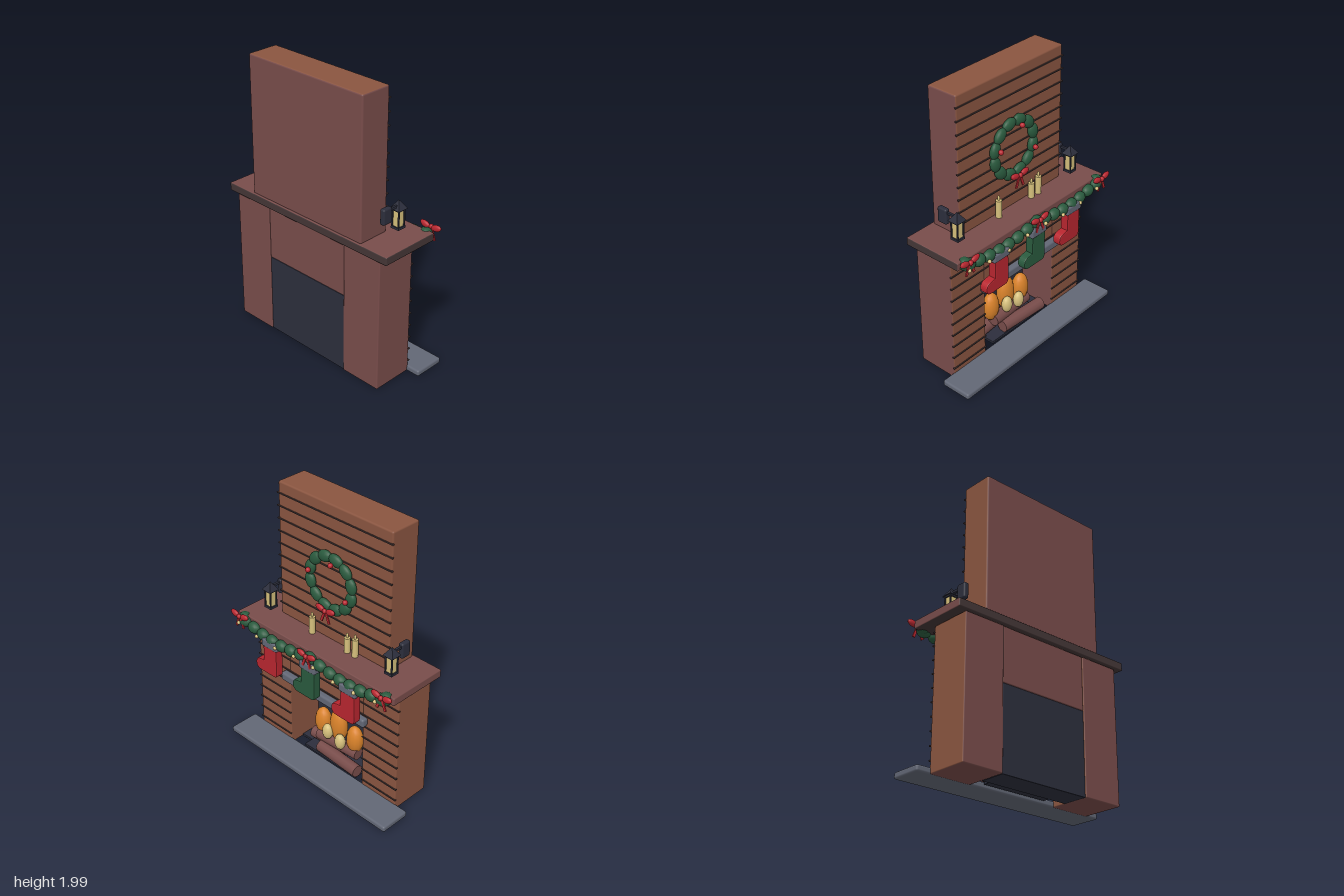
import * as THREE from 'three';
import { RoundedBoxGeometry } from 'three/addons/geometries/RoundedBoxGeometry.js';

const mat = (name, color) => {
  const m = new THREE.MeshStandardMaterial({ color });
  m.name = name;
  return m;
};

export function createModel() {
  const brick = mat('brick', 0x8a5540);
  const redBrown = mat('redBrown', 0x784c4a);
  const darkBrown = mat('darkBrown', 0x443636);
  const stone = mat('stone', 0x626775);
  const charcoal = mat('charcoal', 0x2c2e3c);
  const green = mat('green', 0x2a5a3e);
  const red = mat('red', 0xb8262f);
  const cream = mat('cream', 0xd6c07c);
  const orange = mat('orange', 0xd9822a);

  // Side order: +x, -x, +y, -y, +z, -z
  const brickSides = [redBrown, brick, brick, redBrown, redBrown, brick];
  const mantelSides = [darkBrown, redBrown, redBrown, darkBrown, darkBrown, redBrown];

  const model = new THREE.Group();
  model.name = 'fireplace';

  const add = (name, geo, material, x = 0, y = 0, z = 0, parent = model) => {
    const m = new THREE.Mesh(geo, material);
    m.name = name;
    m.position.set(x, y, z);
    parent.add(m);
    return m;
  };
  // Bevelled box given by its minimum and maximum corners
  const block = (name, material, [x0, y0, z0], [x1, y1, z1], r = 0.008) =>
    add(name, new RoundedBoxGeometry(x1 - x0, y1 - y0, z1 - z0, 2, r), material,
      (x0 + x1) / 2, (y0 + y1) / 2, (z0 + z1) / 2);
  const ball = new THREE.SphereGeometry(1, 14, 10);
  const blob = (name, material, x, y, z, rx, ry = rx, rz = rx, parent = model) => {
    const m = add(name, ball, material, x, y, z, parent);
    m.scale.set(rx, ry, rz);
    return m;
  };
  const group = (name, x, y, z) => {
    const g = new THREE.Group();
    g.name = name;
    g.position.set(x, y, z);
    model.add(g);
    return g;
  };

  // Masonry
  block('leftPillar', brickSides, [0.345, 0.01, -0.05], [0.65, 0.965, 0.25]);
  block('rightPillar', brickSides, [-0.65, 0.01, -0.05], [-0.345, 0.965, 0.25]);
  block('breast', brickSides, [-0.345, 0.585, -0.05], [0.345, 0.965, 0.245]);
  block('chimney', brickSides, [-0.49, 1.02, 0.02], [0.49, 2, 0.25], 0.012);
  block('mantel', mantelSides, [-0.715, 0.968, -0.175], [0.715, 1.026, 0.265]);
  block('hearth', stone, [-0.75, 0.008, -0.265], [0.75, 0.052, -0.04], 0.014);
  block('lintel', stone, [-0.39, 0.57, -0.097], [0.39, 0.635, -0.045], 0.016);
  block('fireboxBack', charcoal, [-0.345, 0.01, 0.215], [0.345, 0.585, 0.243], 0.004);
  block('fireboxFloor', charcoal, [-0.345, 0.01, 0.06], [0.345, 0.03, 0.23], 0.004);

  // Mortar courses
  const course = (x0, x1, y, z) =>
    add('mortarLine', new THREE.BoxGeometry(x1 - x0, 0.008, 0.014), darkBrown, (x0 + x1) / 2, y, z);
  for (let i = 0; i < 10; i++) course(-0.496, 0.496, 1.11 + i * 0.09, 0.02);
  for (let i = 1; i <= 10; i++) {
    const y = i * 0.092;
    if (y > 0.6) course(-0.656, 0.656, y, -0.05);
    else {
      course(0.345, 0.656, y, -0.05);
      course(-0.656, -0.345, y, -0.05);
    }
  }

  // Logs and flames
  [[-0.02, 0.15, 0.06, 0.36, 0.05], [-0.08, 0.085, 0.0, 0.38, -0.06], [0.06, 0.085, 0.11, 0.4, 0.08]]
    .forEach(([x, y, z, len, turn]) => {
      const log = add('log', new THREE.CylinderGeometry(0.045, 0.045, len, 12), redBrown, x, y, z);
      log.rotation.set(0, turn, Math.PI / 2);
    });
  block('grate', charcoal, [-0.26, 0.025, -0.02], [0.24, 0.045, 0.15], 0.004);
  [[0.15, 0.25, 0.065, 0.11], [0, 0.29, 0.072, 0.135], [-0.155, 0.25, 0.065, 0.11]]
    .forEach(([x, y, r, h]) => blob('flame', orange, x, y, 0.08, r, h, 0.055));
  [[0.05, 0.24], [-0.07, 0.215]].forEach(([x, y]) => blob('innerFlame', cream, x, y, 0.02, 0.042, 0.062, 0.035));

  // Bow with two double loops, a knot and two tails
  const bow = (x, y, z, s = 1) => {
    const g = group('bow', x, y, z);
    g.scale.setScalar(s);
    for (const side of [-1, 1]) {
      const loop = blob('bowLoop', red, side * 0.045, 0.006, 0, 0.04, 0.022, 0.016, g);
      loop.rotation.z = side * 0.25;
      const tail = add('bowTail', new THREE.BoxGeometry(0.018, 0.085, 0.008), red, side * 0.02, -0.045, 0, g);
      tail.rotation.z = side * 0.35;
    }
    blob('bowKnot', red, 0, 0, -0.006, 0.018, 0.018, 0.016, g);
  };

  // Garland in two swags with small lights
  const sag = x => 0.985 - 0.04 * Math.abs(Math.sin(x / 0.62 * Math.PI));
  for (let i = -7; i <= 7; i++) {
    const x = i * 0.09;
    blob('garlandTuft', green, x, sag(x), -0.185, 0.052, 0.042, 0.04);
    if (i % 2) blob('garlandLight', cream, x + 0.03, sag(x) - 0.012, -0.222, 0.013);
  }
  for (const side of [-1, 1]) {
    blob('garlandEnd', green, side * 0.65, 0.995, -0.172, 0.045, 0.042, 0.045);
    bow(side * 0.65, 1.025, -0.218);
  }
  bow(0, 1.015, -0.222);

  // Wreath
  const wreathY = 1.465;
  for (let i = 0; i < 12; i++) {
    const a = (i + 0.5) / 12 * Math.PI * 2;
    const tuft = blob('wreathTuft', green, 0.185 * Math.cos(a), wreathY + 0.185 * Math.sin(a), -0.003,
      0.042, 0.058, 0.028);
    tuft.rotation.z = a;
  }
  [[-0.035, 1.62], [0.165, 1.51], [-0.165, 1.41]].forEach(([x, y]) => blob('berry', red, x, y, -0.04, 0.018));
  bow(0, 1.28, -0.05);

  // Stockings with the toe towards the left
  const sock = new THREE.Shape();
  sock.moveTo(-0.055, 0.23);
  sock.lineTo(-0.055, 0.03);
  sock.quadraticCurveTo(-0.055, 0.008, -0.03, 0.008);
  sock.lineTo(0.095, 0.008);
  sock.quadraticCurveTo(0.135, 0.008, 0.135, 0.045);
  sock.quadraticCurveTo(0.135, 0.08, 0.095, 0.085);
  sock.lineTo(0.055, 0.09);
  sock.lineTo(0.055, 0.23);
  const sockGeo = new THREE.ExtrudeGeometry(sock, {
    depth: 0.044, bevelEnabled: true, bevelThickness: 0.008, bevelSize: 0.008, bevelSegments: 2, curveSegments: 6,
  });
  [[0.36, red], [0, green], [-0.36, red]].forEach(([x, material]) => {
    add('stocking', sockGeo, material, x, 0.68, -0.209);
    block('stockingCuff', stone, [x - 0.073, 0.895, -0.224], [x + 0.073, 0.955, -0.152], 0.012);
  });

  // Candles on the mantel
  [[0.16, 0.125], [-0.16, 0.11], [-0.23, 0.13]].forEach(([x, h]) => {
    add('candle', new THREE.CylinderGeometry(0.021, 0.021, h, 14), cream, x, 1.025 + h / 2, -0.012);
    blob('candleFlame', cream, x, 1.04 + h, -0.012, 0.009, 0.02, 0.009);
  });

  // Lanterns on brackets
  for (const side of [-1, 1]) {
    const g = group('lantern', side * 0.55, 0, -0.022);
    const box = (name, m, w, h, d, x, y, z) => add(name, new THREE.BoxGeometry(w, h, d), m, x, y, z, g);
    box('lanternBase', charcoal, 0.064, 0.016, 0.064, 0, 1.066, 0);
    box('lanternGlass', cream, 0.046, 0.115, 0.046, 0, 1.13, 0);
    box('lanternTop', charcoal, 0.064, 0.012, 0.064, 0, 1.19, 0);
    for (const px of [-1, 1]) for (const pz of [-1, 1])
      box('lanternPost', charcoal, 0.009, 0.12, 0.009, px * 0.026, 1.13, pz * 0.026);
    const roof = add('lanternRoof', new THREE.ConeGeometry(0.058, 0.06, 4, 1), charcoal, 0, 1.224, 0, g);
    roof.geometry = roof.geometry.toNonIndexed();
    roof.geometry.computeVertexNormals();
    roof.rotation.y = Math.PI / 4;
    box('lanternArm', charcoal, 0.016, 0.016, 0.08, 0, 1.215, 0.05);
    add('lanternBracket', new RoundedBoxGeometry(0.038, 0.11, 0.075, 2, 0.012), charcoal, 0, 1.185, 0.115, g);
  }

  return model;
}
